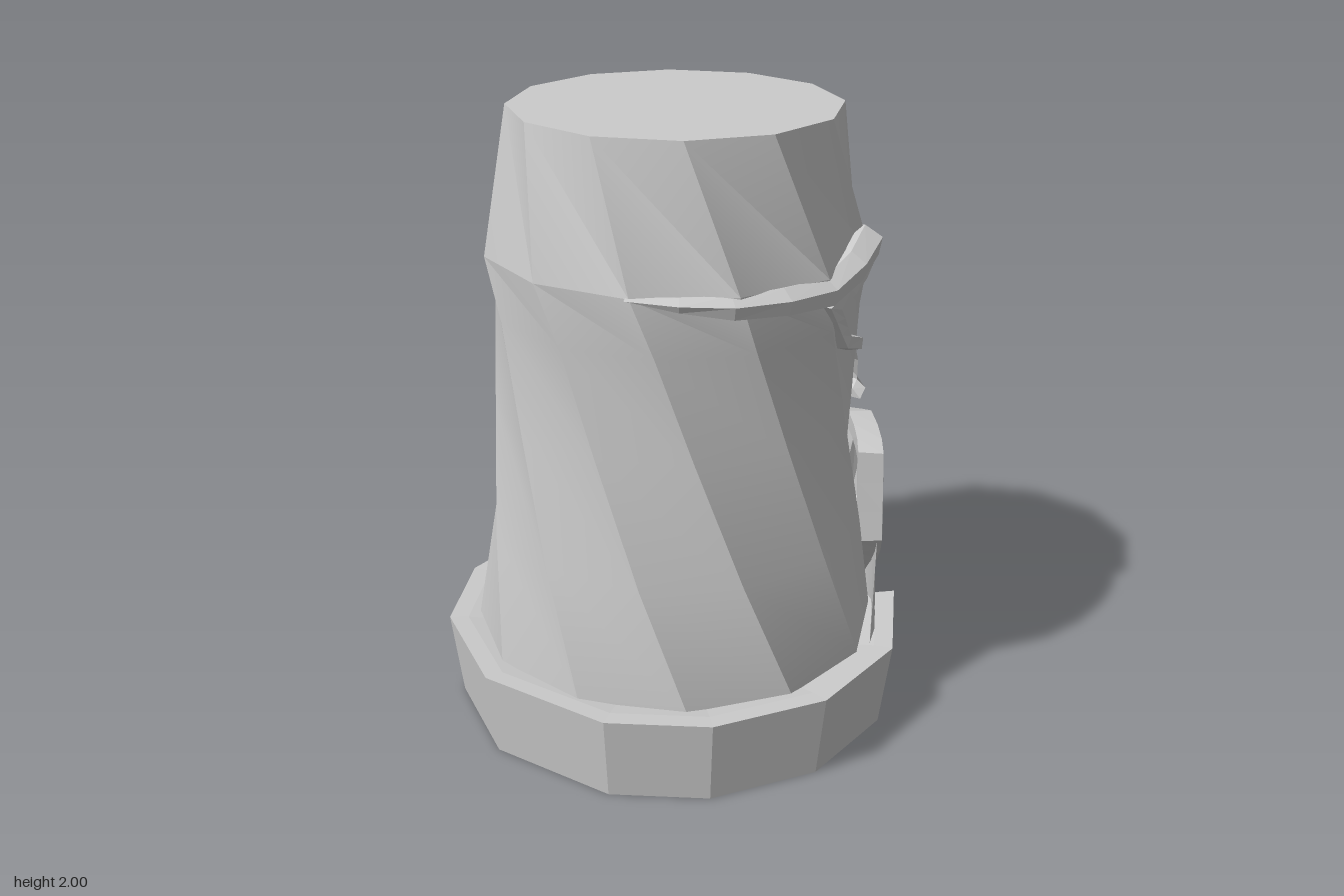
import * as THREE from 'three';
import { toCreasedNormals } from 'three/addons/utils/BufferGeometryUtils.js';

const faceted = new THREE.MeshStandardMaterial({ color: 0xcccccc, flatShading: true, side: THREE.DoubleSide });
const creased = new THREE.MeshStandardMaterial({ color: 0xcccccc, side: THREE.DoubleSide });
const RAD = Math.PI / 180;

// Point on a circle around the y axis; 0 degrees faces +x, 90 degrees +z
const polar = (deg, y, r) => new THREE.Vector3(r * Math.cos(deg * RAD), y, r * Math.sin(deg * RAD));

// Piecewise linear trunk profile: [height, radius]
const PROFILE = [[0, 0.675], [0.28, 0.66], [0.65, 0.61], [1.05, 0.578], [1.38, 0.578], [1.57, 0.605], [2, 0.515]];
function trunkRadius(y) {
  const i = PROFILE.findIndex(([top]) => y <= top);
  const [y0, r0] = PROFILE[i - 1], [y1, r1] = PROFILE[i];
  return r0 + (r1 - r0) * (y - y0) / (y1 - y0);
}

// Skin rows of points, optionally joining the last column or row to the first
function skin(name, rows, wrapCols = false, wrapRows = false) {
  const pos = [], n = rows[0].length, m = rows.length;
  const tri = (a, b, c) => {
    const area = b.clone().sub(a).cross(c.clone().sub(a)).length();
    if (area > 1e-9) for (const p of [a, b, c]) pos.push(p.x, p.y, p.z);
  };
  for (let i = 0; i < (wrapRows ? m : m - 1); i++) {
    for (let j = 0; j < (wrapCols ? n : n - 1); j++) {
      const lo = rows[i], hi = rows[(i + 1) % m], k = (j + 1) % n;
      tri(lo[j], hi[j], hi[k]);
      tri(lo[j], hi[k], lo[k]);
    }
  }
  const geometry = new THREE.BufferGeometry();
  geometry.setAttribute('position', new THREE.Float32BufferAttribute(pos, 3));
  geometry.computeVertexNormals();
  const mesh = new THREE.Mesh(geometry, faceted);
  mesh.name = name;
  return mesh;
}

// Smooth a mesh except across edges sharper than the given angle
function smooth(mesh, angle) {
  mesh.geometry = toCreasedNormals(mesh.geometry, angle);
  mesh.material = creased;
  return mesh;
}

// Add points between path points so long spans follow the curve
function subdivide(path, closed, steps = 3) {
  const out = [];
  const last = closed ? path.length : path.length - 1;
  for (let i = 0; i < last; i++) {
    const a = path[i], b = path[(i + 1) % path.length];
    for (let s = 0; s < steps; s++) out.push(a.map((v, k) => v + (b[k] - v) * s / steps));
  }
  if (!closed) out.push(path[last]);
  return out;
}

// Grow a closed [degrees, height] outline by d units
function grow(loop, d) {
  const p = loop.map(([deg, y]) => new THREE.Vector2(deg * 0.0108, y));
  const sign = THREE.ShapeUtils.area(p) > 0 ? 1 : -1;
  const normal = (a, b) => new THREE.Vector2(b.y - a.y, a.x - b.x).normalize().multiplyScalar(sign);
  return p.map((v, i) => {
    const n1 = normal(p[(i + p.length - 1) % p.length], v), n2 = normal(v, p[(i + 1) % p.length]);
    const mid = n1.clone().add(n2).normalize();
    const q = v.clone().addScaledVector(mid, d / Math.max(0.6, mid.dot(n1)));
    return [q.x / 0.0108, q.y];
  });
}

// Raised frame around an outline; radius(y) is its outer face
function frame(name, loop, width, radius, depth) {
  const row = (d, off) => subdivide(grow(loop, d), true).map(([a, y]) => polar(a, y, radius(y) + off));
  return skin(name, [row(-0.005, -depth), row(0.005, 0), row(width, -0.003), row(width + 0.008, -depth)], true, true);
}

// Twisted twelve-sided trunk with sharp edges only between its bands
function makeTrunk() {
  const ring = (y, r) => Array.from({ length: 12 }, (_, j) => polar(11 - 35 * (2 - y) + j * 30, y, r));
  const rows = PROFILE.map(([y, r]) => ring(y, r));
  return smooth(skin('trunk', [...rows, ring(2, 0)], true), 0.45);
}

function makeBase() {
  // [degrees, rim height], lowered under the chin
  const rim = [[-85, 0.28], [-77, 0.13], [-62, 0.13], [-42, 0.13], [-19, 0.13], [-1.5, 0.11], [17, 0.14],
    [36, 0.28], [66, 0.28], [96, 0.28], [125, 0.28], [150, 0.28], [185, 0.28], [217, 0.28], [244, 0.28]];
  const row = (r, t) => rim.map(([a, h]) => polar(a, h * t, r));
  return skin('baseCollar', [row(0, 0), row(0.725, 0), row(0.762, 1), row(0.7, 0.99), row(0.6, 0.94)], true);
}

function makeBrow() {
  // [degrees, top height, thickness, radius]
  const path = subdivide([[147, 1.57, 0.005, 0.62], [118, 1.57, 0.06, 0.63], [86, 1.57, 0.075, 0.635],
    [58, 1.655, 0.085, 0.645], [31, 1.55, 0.075, 0.64], [14, 1.55, 0.075, 0.64], [-3, 1.655, 0.085, 0.635],
    [-28, 1.59, 0.08, 0.64], [-65, 1.57, 0.075, 0.64], [-100, 1.57, 0.01, 0.64]], false, 2);
  return skin('browRidge', [
    path.map(([a, y, t]) => polar(a, y - t - 0.01, 0.53)),
    path.map(([a, y, t, r]) => polar(a, y - t, r - 0.01)),
    path.map(([a, y, t, r]) => polar(a, y - t * 0.35, r)),
    path.map(([a, y]) => polar(a, y + 0.005, 0.59)),
    path.map(([a, y]) => polar(a, y, 0.53)),
  ], false, true);
}

function makeNose() {
  // Sections from underside to bridge, each [x, y, z] from right to left
  const sections = [
    [[0.5, 1.02, -0.27], [0.5, 1.01, -0.1], [0.5, 1.01, 0.15], [0.45, 1.02, 0.32]],
    [[0.54, 0.99, -0.29], [0.68, 0.935, -0.17], [0.68, 0.935, 0.17], [0.53, 0.985, 0.33]],
    [[0.55, 1.035, -0.3], [0.7, 0.965, -0.16], [0.7, 0.965, 0.17], [0.53, 1.03, 0.35]],
    [[0.54, 1.06, -0.24], [0.69, 1.04, -0.1], [0.69, 1.04, 0.18], [0.51, 1.07, 0.33]],
    [[0.54, 1.12, -0.08], [0.655, 1.14, -0.03], [0.65, 1.14, 0.19], [0.51, 1.13, 0.24]],
    [[0.54, 1.42, 0.08], [0.59, 1.42, 0.1], [0.565, 1.42, 0.24], [0.48, 1.42, 0.27]],
    [[0.5, 1.44, 0.08], [0.5, 1.44, 0.1], [0.5, 1.44, 0.24], [0.48, 1.44, 0.27]],
  ];
  return skin('nose', sections.map((s) => s.map((p) => new THREE.Vector3(...p))));
}

function makeMouth() {
  const mouth = new THREE.Group();
  mouth.name = 'mouth';
  // Upper edge, bite line and lower edge of the teeth
  const top = [[44, 0.83], [29.5, 0.88], [11.5, 0.815], [-7, 0.75], [-18, 0.82], [-28.5, 0.87], [-41, 0.84]];
  const bite = [[46, 0.58], [20, 0.59], [3, 0.57], [-13, 0.56], [-27.5, 0.57], [-43, 0.58], [-70, 0.58]];
  const low = [[30, 0.39], [8, 0.28], [-8, 0.305], [-24.5, 0.36], [-38, 0.34], [-50, 0.31], [-66, 0.27]];
  const outline = [...top, bite[6], ...low.slice().reverse(), bite[0]];
  mouth.add(frame('lips', outline, 0.045, (y) => 0.702 - 0.025 * y, 0.085));

  // Two rows of slanted teeth separated by narrow grooves
  const tooth = (quad) => {
    const c = [0, 1].map((k) => quad.reduce((s, p) => s + p[k], 0) / 4);
    const inset = quad.map((p) => p.map((v, k) => c[k] + (v - c[k]) * 0.9));
    const row = (pts, r) => pts.map(([a, y]) => polar(a, y, r));
    const face = row(inset, 0.66);
    const centre = face.reduce((s, p) => s.add(p), new THREE.Vector3()).divideScalar(4);
    mouth.add(skin('tooth', [row(quad, 0.625), face, face.map(() => centre)], true));
  };
  for (let i = 0; i < 6; i++) {
    tooth([top[i], top[i + 1], bite[i + 1], bite[i]]);
    tooth([bite[i], bite[i + 1], low[i + 1], low[i]]);
  }

  // Jaw running from the lower lip down into the collar
  const lip = subdivide([[49, 0.57], [32, 0.37], [9, 0.25], [-8, 0.27], [-24.5, 0.325], [-45, 0.29], [-68, 0.25]], false);
  const chin = subdivide([[66, 0.26], [46, 0.18], [18, 0.11], [-6, 0.09], [-26, 0.11], [-47, 0.11], [-74, 0.11]], false);
  const jaw = skin('jaw', [
    chin.map(([a, y]) => polar(a, y, 0.685)),
    lip.map(([a, y]) => polar(a, y, 0.67)),
    lip.map(([a, y]) => polar(a, y + 0.02, 0.61)),
  ]);
  mouth.add(smooth(jaw, 0.5));
  return mouth;
}

export function createModel() {
  const model = new THREE.Group();
  model.name = 'carvedTotem';
  model.add(makeTrunk(), makeBase(), makeBrow(), makeNose(), makeMouth());

  // Eye frames around the sunken eyes
  const eyeRadius = (y) => trunkRadius(y) + 0.018;
  const eyes = {
    leftEyeFrame: [[79, 1.46], [56, 1.53], [36, 1.44], [27, 1.38], [25, 1.18], [70, 1.35]],
    rightEyeFrame: [[6, 1.39], [-4, 1.46], [-22, 1.53], [-39, 1.36], [-8, 1.18]],
  };
  for (const [name, loop] of Object.entries(eyes)) model.add(frame(name, loop, 0.042, eyeRadius, 0.05));
  return model;
}
